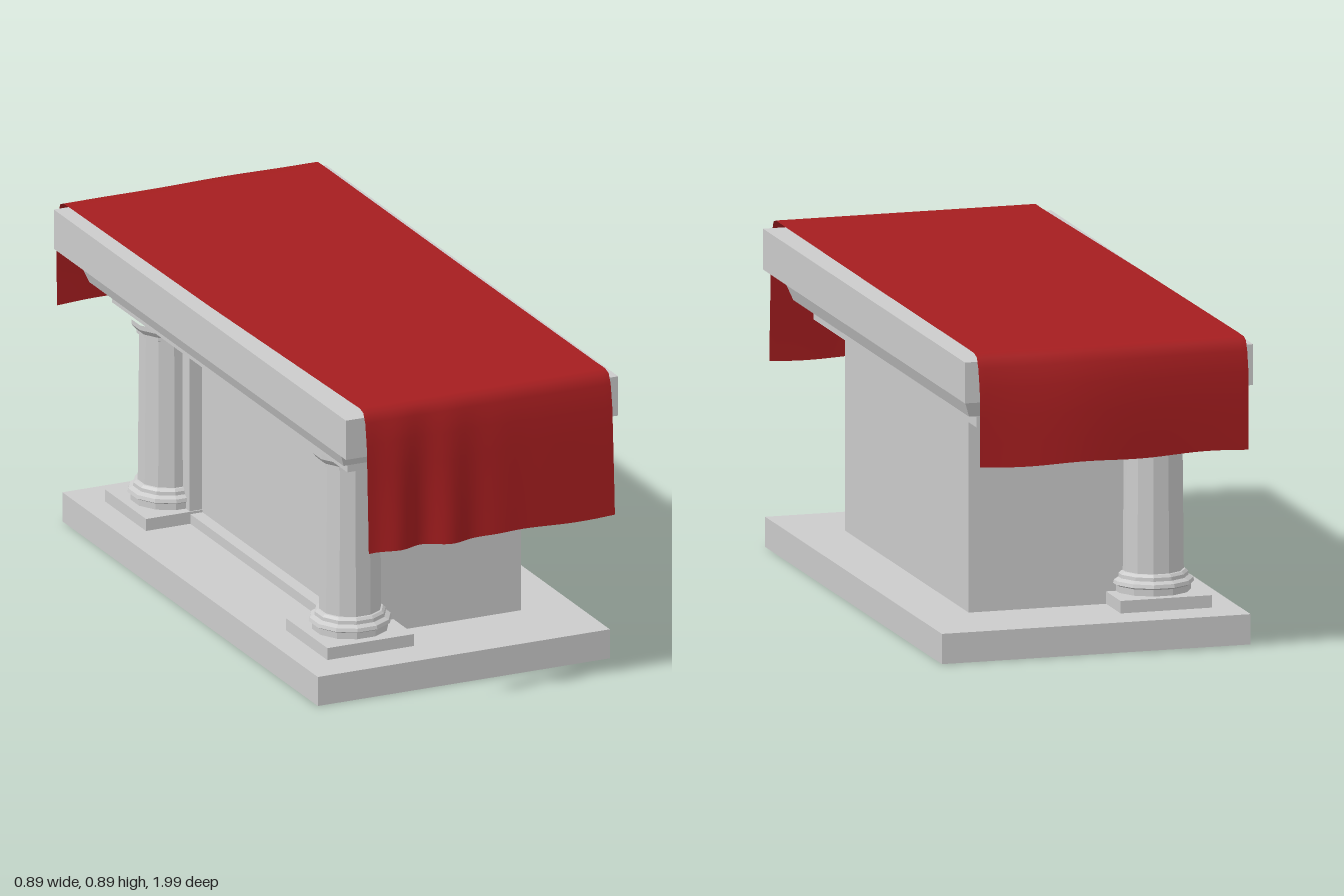
import * as THREE from 'three';

const stone = new THREE.MeshStandardMaterial({ color: 0xcccccc, flatShading: true });
const red = new THREE.MeshStandardMaterial({ color: 0xa51d1f, side: THREE.DoubleSide });

// Box given by its limits; taper insets the bottom face on x and z
function block(name, [x0, x1], [y0, y1], [z0, z1], taper = 0) {
  const geo = new THREE.BoxGeometry(x1 - x0, y1 - y0, z1 - z0);
  const p = geo.attributes.position;
  for (let i = 0; i < p.count; i++) {
    if (p.getY(i) > 0) continue;
    p.setX(i, p.getX(i) - Math.sign(p.getX(i)) * taper);
    p.setZ(i, p.getZ(i) - Math.sign(p.getZ(i)) * taper);
  }
  geo.computeVertexNormals();
  const mesh = new THREE.Mesh(geo, stone);
  mesh.name = name;
  mesh.position.set((x0 + x1) / 2, (y0 + y1) / 2, (z0 + z1) / 2);
  return mesh;
}

// Column with square plinth, moulded foot, shaft and capital
function column(name, x, z) {
  const group = new THREE.Group();
  group.name = name;
  const profile = [
    [0.107, 0.12], [0.107, 0.138], [0.116, 0.143], [0.113, 0.153], [0.1, 0.16],
    [0.099, 0.17], [0.092, 0.177], [0.087, 0.178], [0.083, 0.605], [0.09, 0.608],
    [0.09, 0.618], [0.096, 0.624], [0.104, 0.634], [0.104, 0.648],
  ].map(([r, y]) => new THREE.Vector2(r, y));
  const shaft = new THREE.Mesh(new THREE.LatheGeometry(profile, 12, Math.PI / 12), stone);
  shaft.name = 'shaft';
  shaft.position.set(x, 0, z);
  group.add(shaft, block('plinth', [x - 0.132, x + 0.132], [0.085, 0.12], [z - 0.132, z + 0.132]));
  return group;
}

// Cloth runner: a sheet following a side profile, rippling along both hems
function cloth() {
  const profile = [ // z, y, amount of hang
    [-0.978, 0.58, 1], [-0.978, 0.65, 0.85], [-0.977, 0.72, 0.7], [-0.973, 0.8, 0.5],
    [-0.96, 0.855, 0.3], [-0.947, 0.882, 0.2], [-0.925, 0.89, 0], [-0.86, 0.891, 0],
    [0, 0.891, 0], [0.86, 0.893, 0], [0.915, 0.894, 0], [0.938, 0.887, 0],
    [0.951, 0.86, 0.1], [0.962, 0.8, 0.3], [0.968, 0.72, 0.5], [0.973, 0.64, 0.7],
    [0.978, 0.56, 0.85], [0.982, 0.485, 1],
  ];
  const cols = 40;
  const geo = new THREE.PlaneGeometry(1, 1, cols, profile.length - 1);
  const p = geo.attributes.position;
  for (let i = 0; i < p.count; i++) {
    const [z, y, hang] = profile[Math.floor(i / (cols + 1))];
    const u = (i % (cols + 1)) / cols;
    const left = -0.38 + 0.01 * z + (z > 0 ? 0.005 : -0.005);
    const x = THREE.MathUtils.lerp(left, 0.382, u);
    const ripple = z > 0
      ? 0.014 * Math.cos((x + 0.28) * 38) * Math.exp(-Math.pow((x + 0.2) / 0.18, 2)) - 0.004
      : 0.014 - 0.036 * Math.exp(-Math.pow((x - 0.14) / 0.25, 2));
    p.setXYZ(i, x, y + hang * 0.003 * Math.sin(x * 17), z + hang * ripple);
  }
  geo.computeVertexNormals();
  const mesh = new THREE.Mesh(geo, red);
  mesh.name = 'clothRunner';
  return mesh;
}

export function createModel() {
  const model = new THREE.Group();
  model.name = 'altarTable';

  // Base and body
  model.add(
    block('base', [-0.445, 0.445], [0, 0.085], [-0.825, 0.813]),
    block('body', [-0.198, 0.29], [0.083, 0.648], [-0.575, 0.57]),
  );

  // Raised frame round the side panel
  model.add(
    block('panelSill', [-0.235, -0.198], [0.083, 0.113], [-0.575, 0.57]),
    block('panelLintel', [-0.235, -0.198], [0.618, 0.648], [-0.575, 0.57]),
    block('panelPostBack', [-0.235, -0.198], [0.113, 0.618], [-0.575, -0.45]),
    block('panelPostFront', [-0.235, -0.198], [0.113, 0.618], [0.445, 0.57]),
  );

  // Corner columns
  model.add(column('columnFront', -0.231, 0.57), column('columnBack', -0.238, -0.578));

  // Stepped moulding and table slab
  model.add(
    block('lowerMoulding', [-0.325, 0.325], [0.645, 0.69], [-0.76, 0.75]),
    block('slopedMoulding', [-0.39, 0.39], [0.69, 0.756], [-0.845, 0.835], 0.025),
    block('tableSlab', [-0.415, 0.415], [0.755, 0.87], [-0.943, 0.93]),
  );

  model.add(cloth());
  return model;
}
